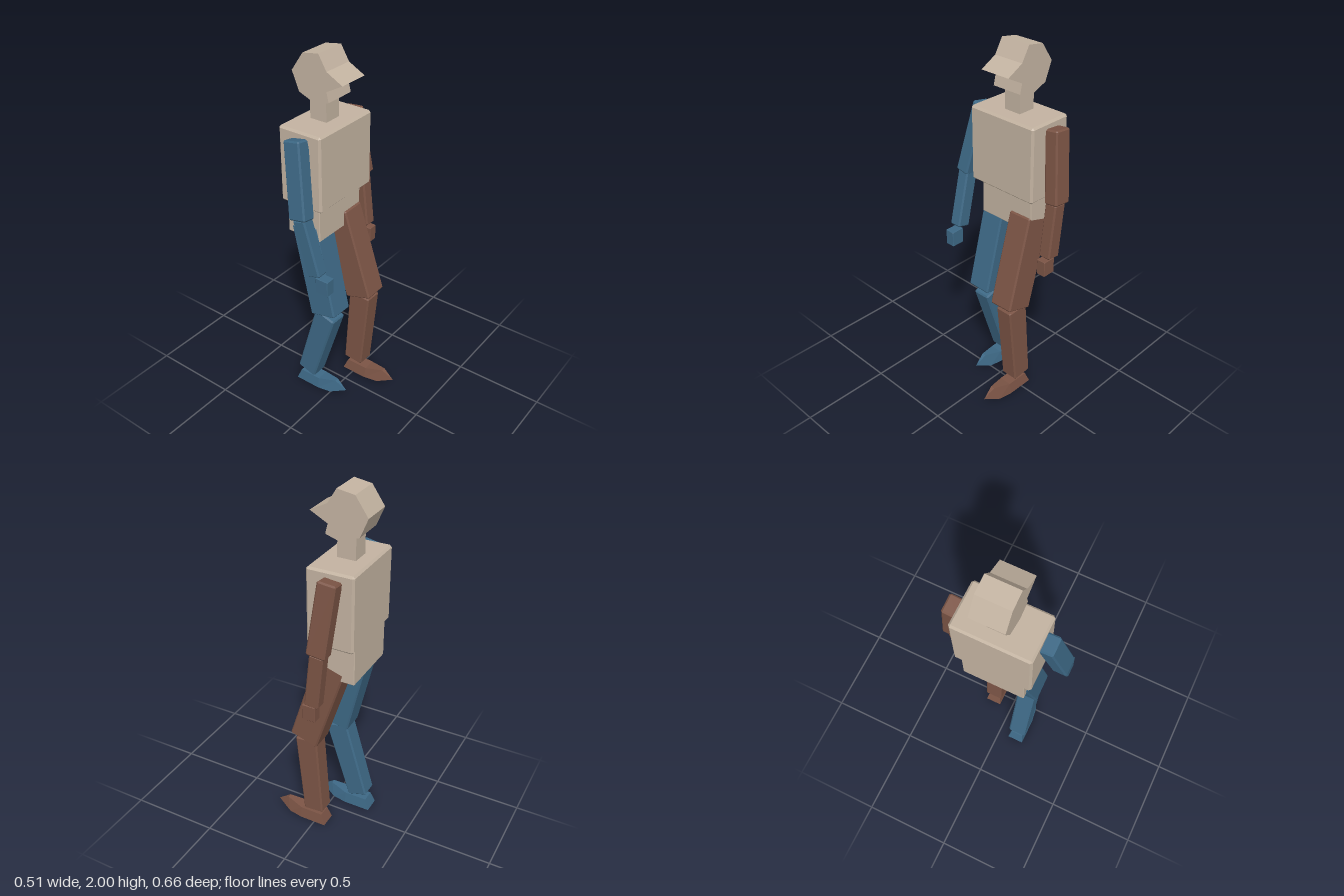
import * as THREE from 'three';
import { ConvexGeometry } from 'three/addons/geometries/ConvexGeometry.js';

const material = (name, color) => {
  const m = new THREE.MeshStandardMaterial({ color });
  m.name = name;
  return m;
};

// Box with chamfered edges; the top and bottom ends may differ in width
function chamferBox(wTop, wBottom, h, d, c) {
  const pts = [];
  for (const sx of [-1, 1]) for (const sy of [-1, 1]) for (const sz of [-1, 1]) {
    const x = (sy > 0 ? wTop : wBottom) / 2, y = h / 2, z = d / 2;
    pts.push(new THREE.Vector3(sx * x, sy * (y - c), sz * (z - c)));
    pts.push(new THREE.Vector3(sx * (x - c), sy * y, sz * (z - c)));
    pts.push(new THREE.Vector3(sx * (x - c), sy * (y - c), sz * z));
  }
  return new ConvexGeometry(pts);
}

// Foot: a box whose four cross-sections follow the sole, instep and pointed toe
// each row: [bottom x, bottom y, bottom half width, top x, top y, top half width]
const FOOT = [
  [-0.233, 0, 0.047, -0.208, 0.063, 0.036],
  [-0.08, 0, 0.047, -0.08, 0.063, 0.036],
  [0.0, 0.004, 0.036, 0.023, 0.083, 0.012],
  [0.09, 0.038, 0, 0.09, 0.04, 0],
];
function footGeometry() {
  const g = new THREE.BoxGeometry(3, 1, 2, 3, 1, 1).toNonIndexed();
  const p = g.attributes.position;
  for (let i = 0; i < p.count; i++) {
    const row = FOOT[Math.round(p.getX(i) + 1.5)];
    const k = p.getY(i) > 0 ? 3 : 0;
    p.setXYZ(i, row[k], row[k + 1], Math.sign(p.getZ(i)) * row[k + 2]);
  }
  g.computeVertexNormals();
  return g;
}

export function createModel() {
  const model = new THREE.Group();
  model.name = 'walkingFigure';
  const tan = material('tan', 0xc2b2a0);
  const blue = material('blue', 0x3d6885);
  const red = material('redBrown', 0x7b5445);

  const add = (name, geometry, mat, parent = model) => {
    const mesh = new THREE.Mesh(geometry, mat);
    mesh.name = name;
    parent.add(mesh);
    return mesh;
  };

  // Upright block given by its lower and upper corners
  const block = (name, lo, hi, mat, c, parent) => {
    const s = hi.map((v, i) => v - lo[i]);
    const g = c ? chamferBox(s[0], s[0], s[1], s[2], c) : new THREE.BoxGeometry(...s);
    add(name, g, mat, parent).position.set(...hi.map((v, i) => (v + lo[i]) / 2));
  };

  // Limb segment running from its upper to its lower end
  const limb = (name, top, bottom, wTop, wBottom, depth, mat, parent) => {
    const a = new THREE.Vector3(...top), b = new THREE.Vector3(...bottom);
    const y = a.clone().sub(b), len = y.length();
    y.normalize();
    const x = new THREE.Vector3().crossVectors(y, new THREE.Vector3(0, 0, 1)).normalize();
    const z = new THREE.Vector3().crossVectors(x, y);
    const mesh = add(name, chamferBox(wTop, wBottom, len, depth, 0.008), mat, parent);
    mesh.quaternion.setFromRotationMatrix(new THREE.Matrix4().makeBasis(x, y, z));
    mesh.position.copy(a.add(b).multiplyScalar(0.5));
  };

  // Head: side profile extruded across its width
  const profile = [
    [-0.19, 1.985], [-0.095, 2.0], [-0.048, 1.922], [0.045, 1.873], [-0.05, 1.823],
    [-0.037, 1.77], [-0.116, 1.745], [-0.217, 1.785], [-0.259, 1.885],
  ].map(([x, y]) => new THREE.Vector2(x, y));
  const headGeometry = new THREE.ExtrudeGeometry(new THREE.Shape(profile), { depth: 0.175, bevelEnabled: false });
  add('head', headGeometry, tan).position.z = -0.095;

  // Trunk
  block('neck', [-0.18, 1.64, -0.055], [-0.08, 1.77, 0.045], tan, 0);
  block('chest', [-0.253, 1.23, -0.218], [0.004, 1.645, 0.204], tan, 0.011);
  block('pelvis', [-0.245, 1.03, -0.18], [-0.038, 1.24, 0.165], tan, 0.004);

  // Arms and legs, each side in its own pose
  const sides = [
    {
      name: 'nearSide', mat: blue,
      shoulder: [-0.122, 1.614, 0.228], elbow: [-0.05, 1.225, 0.29],
      elbow2: [-0.048, 1.233, 0.287], wrist: [0.034, 0.924, 0.278],
      hand: [[0.038, 0.828, 0.247], [0.114, 0.918, 0.302]],
      hip: [-0.14, 1.09, 0.1], knee: [-0.016, 0.569, 0.112],
      knee2: [-0.019, 0.558, 0.112], ankle: [-0.161, 0.093, 0.112],
      foot: [0, 0, 0.112],
    },
    {
      name: 'farSide', mat: red,
      shoulder: [-0.142, 1.612, -0.245], elbow: [-0.104, 1.23, -0.292],
      elbow2: [-0.104, 1.233, -0.283], wrist: [-0.07, 0.924, -0.28],
      hand: [[-0.089, 0.828, -0.303], [-0.013, 0.918, -0.25]],
      hip: [-0.108, 1.095, -0.11], knee: [0.05, 0.588, -0.12],
      knee2: [0.042, 0.588, -0.124], ankle: [0, 0.092, -0.124],
      foot: [0.166, 0, -0.122],
    },
  ];
  const footShape = footGeometry();
  for (const s of sides) {
    const side = new THREE.Group();
    side.name = s.name;
    model.add(side);
    limb('upperArm', s.shoulder, s.elbow, 0.1, 0.104, 0.08, s.mat, side);
    limb('forearm', s.elbow2, s.wrist, 0.078, 0.08, 0.07, s.mat, side);
    block('hand', ...s.hand, s.mat, 0.003, side);
    limb('thigh', s.hip, s.knee, 0.166, 0.163, 0.14, s.mat, side);
    limb('shin', s.knee2, s.ankle, 0.13, 0.117, 0.103, s.mat, side);
    add('foot', footShape, s.mat, side).position.set(...s.foot);
  }
  return model;
}
